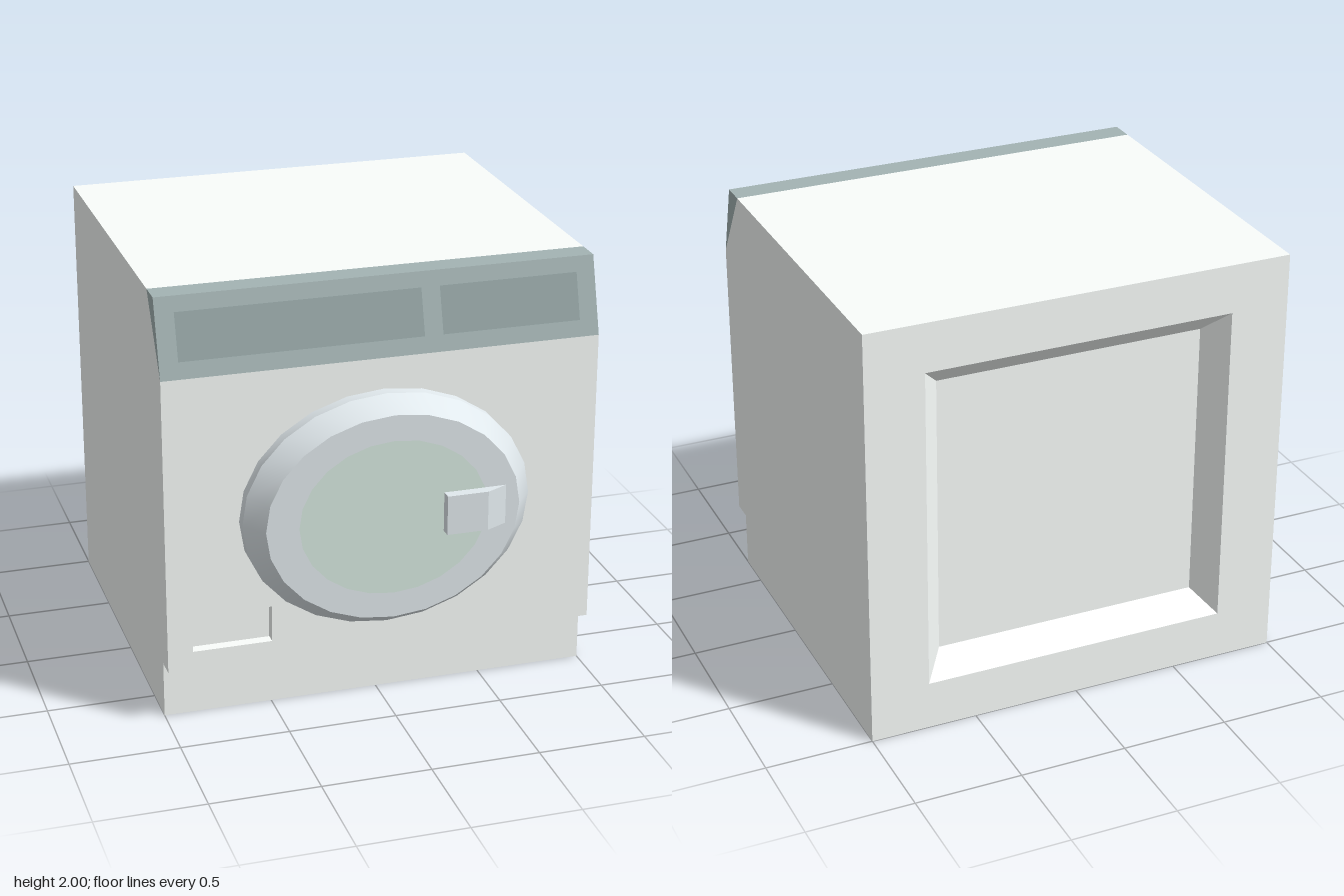
import * as THREE from 'three';
import { toCreasedNormals } from 'three/addons/utils/BufferGeometryUtils.js';

const BODY = 0xfafefc, PANEL = 0xa3b3b3, DISPLAY = 0x94a4a4, DOOR = 0xe1e9ed, GLASS = 0xd7e8df;

function addMesh(parent, name, geometry, color) {
  const mesh = new THREE.Mesh(geometry, new THREE.MeshStandardMaterial({ color }));
  mesh.name = name;
  parent.add(mesh);
  return mesh;
}

// Flat-faced skin through rectangles [x0, x1, y0, y1, z], closed at both ends
function rectLoft(rects) {
  const rings = rects.map(([x0, x1, y0, y1, z]) => [[x0, y0, z], [x1, y0, z], [x1, y1, z], [x0, y1, z]]);
  const pos = [];
  const quad = (a, b, c, d) => pos.push(...a, ...b, ...c, ...a, ...c, ...d);
  quad(...rings[0]);
  for (let k = 0; k < rings.length - 1; k++) {
    const a = rings[k], b = rings[k + 1];
    for (let i = 0; i < 4; i++) {
      const j = (i + 1) % 4;
      quad(a[i], b[i], b[j], a[j]);
    }
  }
  quad(...rings[rings.length - 1].slice().reverse());
  const geometry = new THREE.BufferGeometry();
  geometry.setAttribute('position', new THREE.Float32BufferAttribute(pos, 3));
  geometry.computeVertexNormals();
  return geometry;
}

function prism(points, depth) {
  const shape = new THREE.Shape(points.map(([x, y]) => new THREE.Vector2(x, y)));
  return new THREE.ExtrudeGeometry(shape, { depth, bevelEnabled: false });
}

export function createModel() {
  const model = new THREE.Group();
  model.name = 'washingMachine';

  // Cabinet, from the filter hatch through the plinth step and chamfer to the back recess
  addMesh(model, 'cabinet', rectLoft([
    [-0.885, -0.52, 0.355, 0.527, 0.745],
    [-0.885, -0.52, 0.355, 0.527, 0.795],
    [-1, 1, 0.265, 1.655, 0.795],
    [-1, 1, 0.265, 1.814, 0.695],
    [-1, 1, 0, 1.814, 0.695],
    [-1, 1, 0, 2, 0.578],
    [-1, 1, 0, 2, -1],
    [-0.725, 0.725, 0.23, 1.77, -1],
    [-0.63, 0.63, 0.335, 1.665, -0.89],
  ]), BODY);

  // Wedge-shaped control panel on the chamfer
  const wedge = prism([[-0.795, 1.655], [-0.695, 2], [-0.578, 2]], 2);
  wedge.rotateY(Math.PI / 2).translate(-1, 0, 0);
  addMesh(model, 'controlPanel', wedge, PANEL);

  // Two dark fields on the sloping panel face
  const fields = new THREE.Group();
  fields.name = 'panelFields';
  fields.position.set(0, 1.8275, 0.745);
  fields.rotation.x = -Math.atan2(0.1, 0.345);
  model.add(fields);
  for (const [name, x0, x1] of [['drawerField', -0.915, 0.19], ['displayField', 0.275, 0.915]]) {
    const field = addMesh(fields, name, new THREE.PlaneGeometry(x1 - x0, 0.214), DISPLAY);
    field.position.set((x0 + x1) / 2, 0.002, 0.001);
  }

  // Oval door with a bevelled rim
  const door = new THREE.Group();
  door.name = 'door';
  door.position.set(0, 0.961, 0.795);
  model.add(door);
  const profile = [[0.665, 0], [0.665, 0.055], [0.585, 0.155], [0, 0.155]];
  const rim = new THREE.LatheGeometry(profile.map(([r, h]) => new THREE.Vector2(r, h)), 24);
  rim.rotateX(Math.PI / 2).scale(1, 0.829, 1);
  addMesh(door, 'doorRim', toCreasedNormals(rim, 0.5), DOOR);

  // Tinted window flush with the door
  const glass = addMesh(door, 'doorWindow', new THREE.CircleGeometry(0.435, 24), GLASS);
  glass.scale.y = 0.84;
  glass.position.z = 0.156;

  // Handle with a sloping outer end
  const handle = prism([[0.23, -0.95], [0.23, -1], [0.42, -1], [0.52, -0.95]], 0.185);
  handle.rotateX(-Math.PI / 2).translate(0, 0.868, 0);
  addMesh(model, 'doorHandle', handle, DOOR);

  return model;
}
